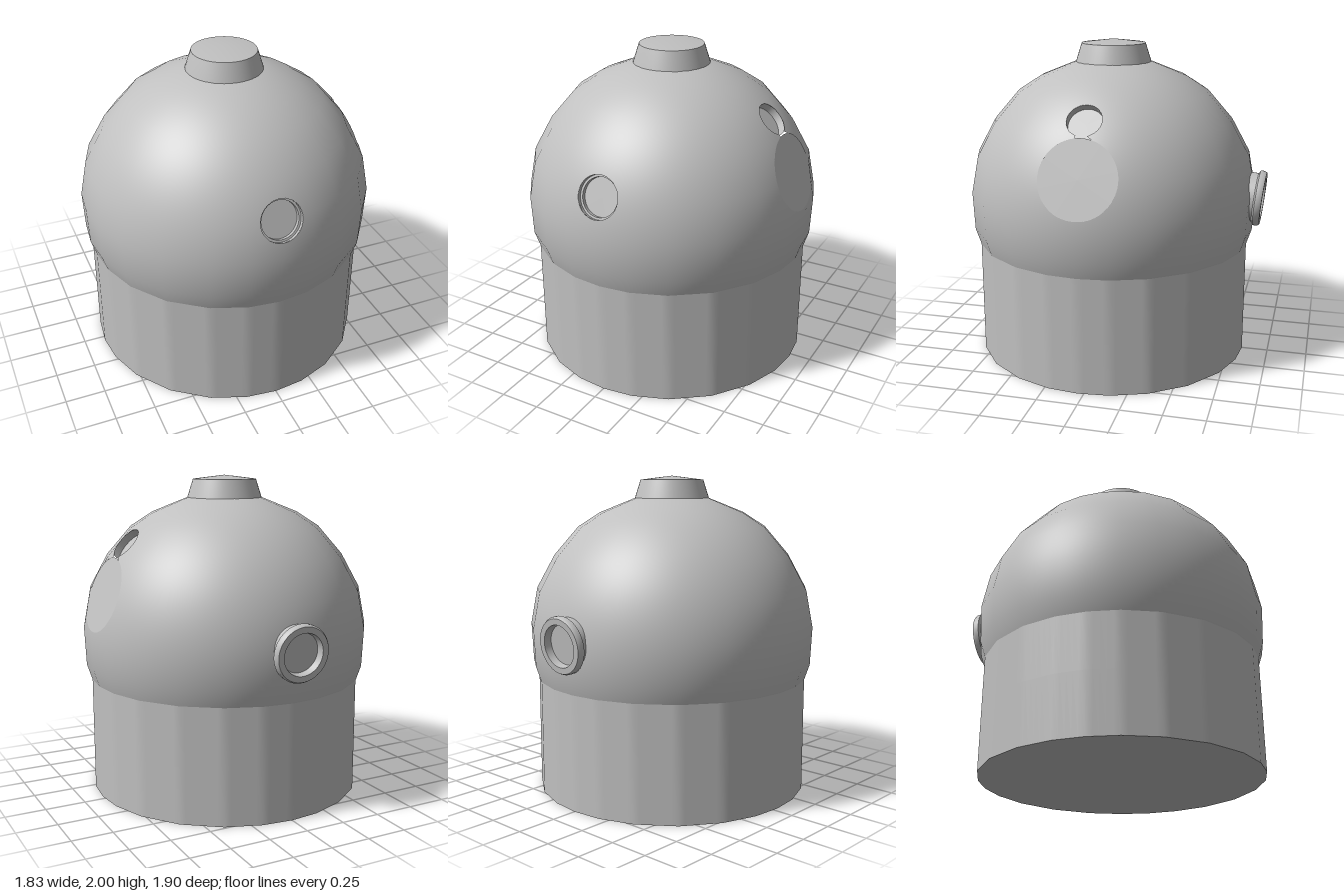
import * as THREE from 'three';
import { toCreasedNormals } from 'three/addons/utils/BufferGeometryUtils.js';

const CENTRE_Y = 1.0; // centre of the spherical dome
const RADIUS = 0.907;
const CORNERS = [0, 12.5, 27.5, 45, 62.5, 77.5, 90]; // polygon corners in each quarter

const points = (list) => list.map(([r, y]) => new THREE.Vector2(r, y));

// Radius factor that turns a circle into the many-sided outline
function outline(x, z) {
  const t = THREE.MathUtils.radToDeg(Math.atan2(Math.abs(x), Math.abs(z)));
  let i = 0;
  while (i < CORNERS.length - 2 && t > CORNERS[i + 1]) i++;
  const a = CORNERS[i], b = CORNERS[i + 1];
  const rad = Math.PI / 180;
  return Math.cos((b - a) / 2 * rad) / Math.cos((t - (a + b) / 2) * rad);
}

function facetOutline(geometry) {
  const p = geometry.attributes.position;
  for (let i = 0; i < p.count; i++) {
    const f = outline(p.getX(i), p.getZ(i));
    p.setX(i, p.getX(i) * f);
    p.setZ(i, p.getZ(i) * f);
  }
  return geometry;
}

// Dome shell with round openings cut around axes through its centre
function domeGeometry(openings) {
  const corners = points([[0.87, 0.72], [0.903, 0.82], [0.914, 1.06], [0.87, 1.29],
    [0.755, 1.5], [0.6, 1.68], [0.46, 1.77], [0.2, 1.875]]);
  const profile = [];
  for (let i = 0; i < corners.length - 1; i++) {
    for (let k = 0; k < 8; k++) profile.push(corners[i].clone().lerp(corners[i + 1], k / 8));
  }
  profile.push(corners[corners.length - 1]);
  const geometry = facetOutline(new THREE.LatheGeometry(profile, 144));
  const p = geometry.attributes.position, n = geometry.attributes.normal;
  const cut = new Array(p.count).fill(-1);
  const v = new THREE.Vector3(), side = new THREE.Vector3();
  for (let i = 0; i < p.count; i++) {
    v.fromBufferAttribute(p, i);
    v.y -= CENTRE_Y;
    openings.forEach(({ axis, radius }, id) => {
      const along = v.dot(axis);
      side.copy(v).addScaledVector(axis, -along);
      if (along > 0 && side.length() < radius) {
        // slide the point out to the rim of the opening
        cut[i] = id;
        v.copy(axis).multiplyScalar(Math.sqrt(RADIUS * RADIUS - radius * radius))
          .addScaledVector(side.normalize(), radius);
      }
    });
    p.setXYZ(i, v.x, v.y + CENTRE_Y, v.z);
    v.normalize();
    n.setXYZ(i, v.x, v.y, v.z);
  }
  const kept = [], index = geometry.index.array;
  for (let i = 0; i < index.length; i += 3) {
    const tri = [index[i], index[i + 1], index[i + 2]];
    if (!tri.every((j) => cut[j] >= 0)) kept.push(...tri);
  }
  geometry.setIndex(kept);
  return geometry;
}

export function createModel() {
  const model = new THREE.Group();
  model.name = 'domedVessel';
  const body = new THREE.Group();
  body.name = 'body';
  body.position.z = 0.035;
  model.add(body);

  const grey = new THREE.MeshStandardMaterial({ color: 0xc0c0c0 });
  grey.name = 'plain grey';

  const add = (name, geometry) => {
    const mesh = new THREE.Mesh(geometry, grey);
    mesh.name = name;
    body.add(mesh);
    return mesh;
  };
  const turned = (list, sides = 48) =>
    toCreasedNormals(new THREE.LatheGeometry(points(list), sides), 0.6);
  const aim = (mesh, axis) => mesh.quaternion.setFromUnitVectors(new THREE.Vector3(0, 1, 0), axis);

  // Openings and the flat: each has an axis, a radius and a lining profile
  const openings = [
    { name: 'frontSocket', axis: new THREE.Vector3(0, 0.285, 0.865), radius: 0.13,
      lining: [[0.13, 0.9], [0.13, 0.875], [0.116, 0.875], [0.116, 0.85], [0, 0.85]] },
    { name: 'upperSideSocket', axis: new THREE.Vector3(0.67, 0.595, 0), radius: 0.105,
      lining: [[0.105, 0.902], [0.105, 0.855], [0, 0.855]] },
    { name: 'sideFlat', axis: new THREE.Vector3(0.94, 0.33, 0), radius: 0.235,
      lining: [[0.236, 0.876], [0, 0.876]] },
  ];
  openings.forEach((o) => o.axis.normalize());
  add('dome', domeGeometry(openings));
  for (const { name, axis, lining } of openings) {
    const mesh = add(name, turned(lining));
    mesh.position.y = CENTRE_Y;
    aim(mesh, axis);
  }

  // Upright skirt with a closed underside
  const skirt = new THREE.LatheGeometry(
    points([[0, 0], [0.87, 0], [0.87, 0.375], [0.87, 0.74]]), 144);
  add('skirt', toCreasedNormals(facetOutline(skirt), 0.6));

  // Tapered neck with a slightly raised lid
  add('neck', turned([[0.24, 1.845], [0.235, 1.865], [0.2, 1.975], [0, 2.0]]));

  // Flanged port on the back, tipped slightly downwards
  const port = add('backPort', turned([[0.155, -0.06], [0.155, 0.045], [0.174, 0.055],
    [0.174, 0.08], [0.165, 0.095], [0.128, 0.095], [0.12, 0.05], [0, 0.05]]));
  port.position.set(0, 1.035, -0.872);
  aim(port, new THREE.Vector3(0, -0.1, -1).normalize());

  return model;
}
